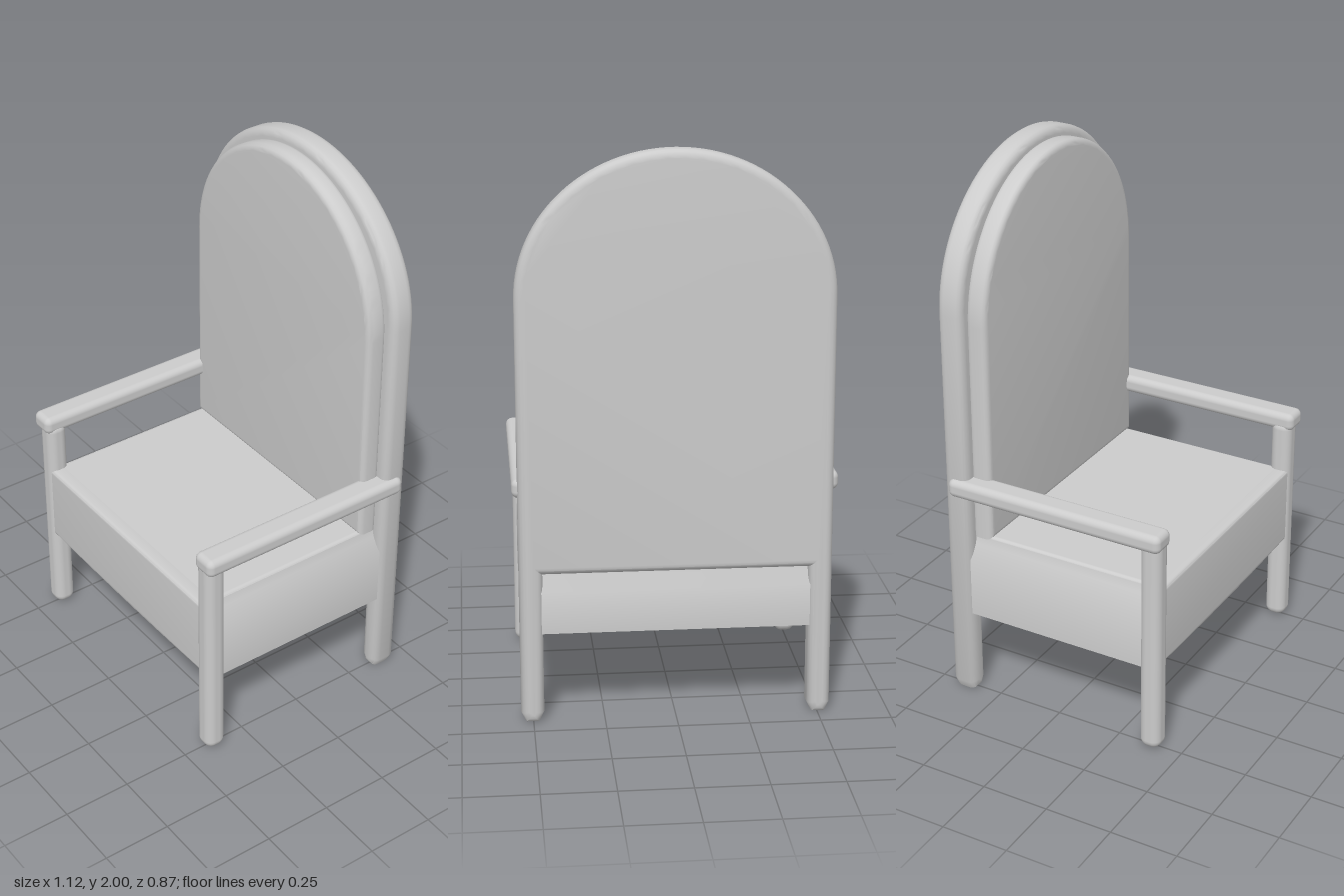
import * as THREE from 'three';
import { RoundedBoxGeometry } from 'three/addons/geometries/RoundedBoxGeometry.js';
import { toCreasedNormals } from 'three/addons/utils/BufferGeometryUtils.js';

const material = new THREE.MeshStandardMaterial({ color: 0xcccccc });

export function createModel() {
  const chair = new THREE.Group();
  chair.name = 'armchair';

  const add = (name, geometry) => {
    const mesh = new THREE.Mesh(geometry, material);
    mesh.name = name;
    chair.add(mesh);
  };

  // Soft-edged block given by its extents
  const block = (name, [x0, x1], [y0, y1], [z0, z1], radius) => {
    const geometry = new RoundedBoxGeometry(x1 - x0, y1 - y0, z1 - z0, 4, radius);
    geometry.translate((x0 + x1) / 2, (y0 + y1) / 2, (z0 + z1) / 2);
    add(name, geometry);
  };

  // Shape extruded along z from z0 to z1 with rounded edges
  const slab = (shape, z0, z1, bevel) => {
    const geometry = new THREE.ExtrudeGeometry(shape, {
      depth: z1 - z0 - 2 * bevel, bevelEnabled: true, bevelSize: bevel,
      bevelThickness: bevel, bevelOffset: -bevel, bevelSegments: 4, curveSegments: 28,
    });
    geometry.translate(0, 0, z0 + bevel);
    return toCreasedNormals(geometry, 0.6);
  };

  const polygon = (points) => new THREE.Shape(points.map(([x, y]) => new THREE.Vector2(x, y)));

  // Outline with straight sides, a round top and the given lower edge (left to right)
  const arch = (lowerEdge, halfWidth, spring, top) => {
    const shape = polygon(lowerEdge);
    shape.lineTo(halfWidth, spring);
    shape.absellipse(0, spring, halfWidth, top - spring, 0, Math.PI, false);
    shape.closePath();
    return shape;
  };

  // Back frame: one board whose sides run down into the back legs
  const leg = [[0.543, 0.04], [0.525, 0.005], [0.48, 0.005], [0.462, 0.04], [0.462, 0.545]];
  const frameEdge = [
    ...leg.map(([x, y]) => [-x, y]),
    ...leg.slice().reverse(),
  ];
  add('backFrame', slab(arch(frameEdge, 0.543, 1.5, 2), -0.433, -0.338, 0.028));

  // Padded front of the backrest, resting on the seat
  const paddingEdge = [[-0.5, 0.645], [0.5, 0.645]];
  add('backrestPadding', slab(arch(paddingEdge, 0.5, 1.46, 1.965), -0.348, -0.268, 0.022));

  block('seat', [-0.49, 0.49], [0.58, 0.652], [-0.37, 0.41], 0.015);

  // Front apron with a slightly sagging lower edge
  const front = polygon([[-0.5, 0.35]]);
  front.quadraticCurveTo(0, 0.334, 0.5, 0.35);
  front.lineTo(0.5, 0.652);
  front.lineTo(-0.5, 0.652);
  front.closePath();
  add('frontApron', slab(front, 0.355, 0.42, 0.015));

  // Other aprons: a cross-section (outward, up) with a sloping shoulder, run along the side
  const apron = (name, section, halfLength, angle) => {
    const geometry = slab(polygon(section), -halfLength, halfLength, 0.01);
    geometry.rotateY(angle);
    add(name, geometry);
  };
  const sideSection = [[0.475, 0.338], [0.53, 0.338], [0.53, 0.56], [0.498, 0.615], [0.49, 0.645], [0.475, 0.645]];
  const backSection = [[0.355, 0.33], [0.42, 0.33], [0.42, 0.48], [0.388, 0.53], [0.388, 0.6], [0.355, 0.6]];
  apron('leftSideApron', sideSection, 0.39, 0);
  apron('rightSideApron', sideSection, 0.39, Math.PI);
  apron('backApron', backSection, 0.49, Math.PI / 2);

  // Front legs and armrests
  for (const side of [-1, 1]) {
    const label = side > 0 ? 'left' : 'right';
    const span = (a, b) => (side > 0 ? [a, b] : [-b, -a]);
    block(label + 'FrontLeg', span(0.462, 0.543), [0.01, 0.85], [0.347, 0.426], 0.032);
    block(label + 'Armrest', span(0.466, 0.562), [0.815, 0.883], [-0.41, 0.434], 0.024);
  }

  return chair;
}
